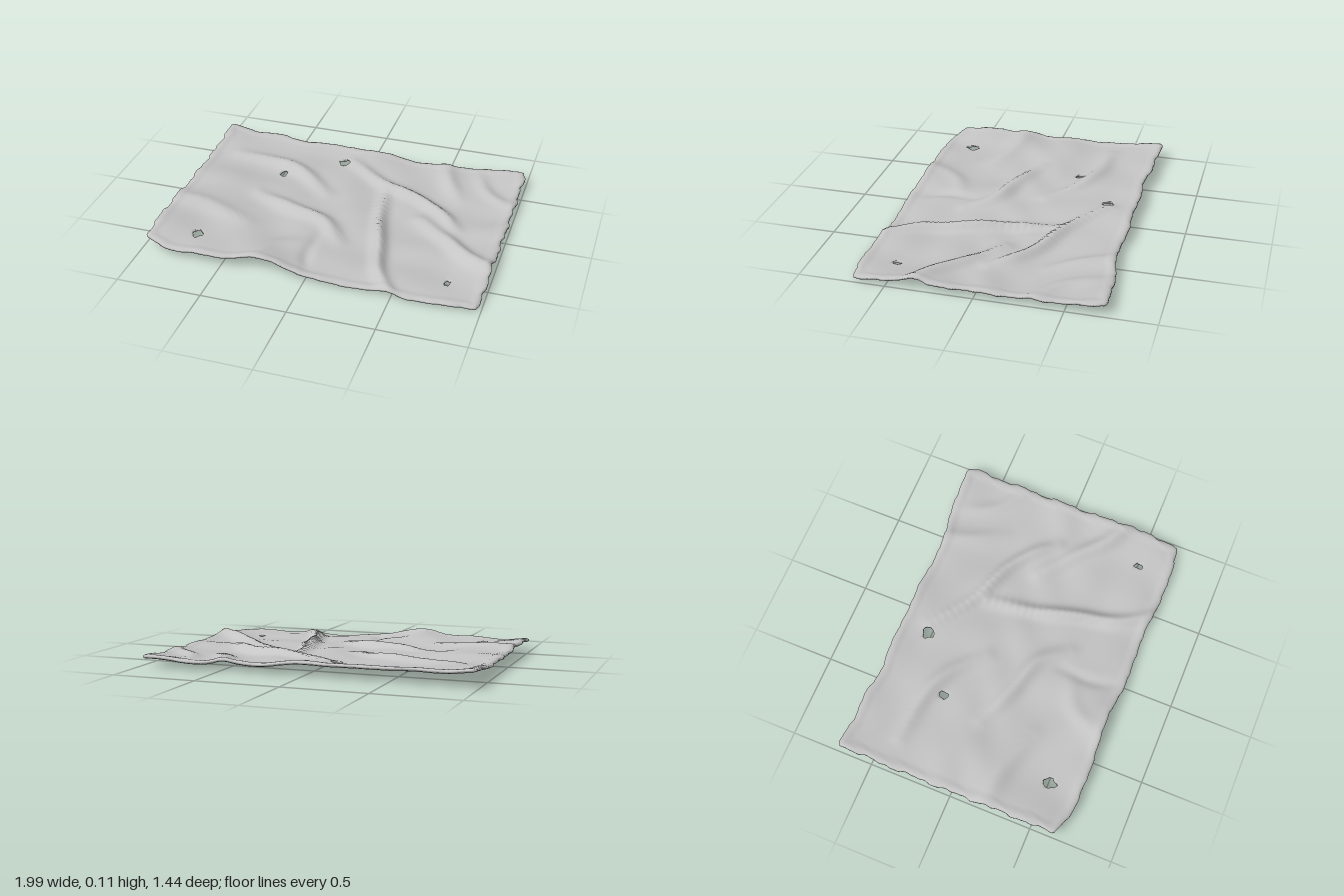
import * as THREE from 'three';

const NX = 132, NZ = 96;

// Broad sag of the cloth: rows from back to front, columns from left edge to right edge in x
const SAG = [
  [0.095, 0.085, 0.075, 0.070, 0.075, 0.055, 0.050, 0.050, 0.060],
  [0.075, 0.060, 0.060, 0.055, 0.050, 0.040, 0.030, 0.025, 0.040],
  [0.070, 0.080, 0.055, 0.050, 0.045, 0.030, 0.025, 0.030, 0.040],
  [0.085, 0.060, 0.050, 0.045, 0.040, 0.025, 0.020, 0.020, 0.045],
  [0.065, 0.045, 0.060, 0.082, 0.038, 0.020, 0.025, 0.018, 0.022],
];
// Outlines of the back and front edges, evenly spaced in x
const BACK = [-0.715, -0.695, -0.695, -0.672, -0.69, -0.68, -0.688, -0.68, -0.675, -0.705, -0.72, -0.725];
const FRONT = [0.655, 0.695, 0.70, 0.695, 0.68, 0.695, 0.705, 0.695, 0.70, 0.715, 0.71, 0.70];

// Folds: height, width, path points [x, z]
const FOLDS = [
  [0.042, 0.045, [[-0.08, -0.52], [0.18, -0.34], [0.45, -0.23], [0.6, -0.12], [0.7, 0]]],
  [0.034, 0.050, [[-0.8, -0.4], [-0.5, -0.37], [-0.32, -0.29], [-0.14, -0.13]]],
  [0.036, 0.050, [[-0.52, 0], [-0.3, 0.09], [-0.05, 0.17], [0.08, 0.32]]],
  [0.045, 0.040, [[0.2, -0.26], [0.25, 0.05], [0.32, 0.3], [0.38, 0.53], [0.5, 0.72]]],
  [0.040, 0.050, [[0.48, -0.04], [0.7, 0.14], [0.85, 0.28], [1.02, 0.37]]],
  [0.022, 0.060, [[-1, 0.2], [-0.75, 0.23], [-0.5, 0.31]]],
  [0.022, 0.050, [[0.48, -0.7], [0.55, -0.5], [0.64, -0.34]]],
  [0.018, 0.045, [[0.7, -0.65], [0.8, -0.45], [1, -0.3]]],
  [-0.015, 0.035, [[-0.04, 0.3], [-0.05, 0.5], [-0.02, 0.62]]],
  [0.014, 0.050, [[-0.35, 0.68], [-0.25, 0.48], [-0.1, 0.4]]],
].map(([h, w, pts]) => {
  const curve = new THREE.CatmullRomCurve3(pts.map(([x, z]) => new THREE.Vector3(x, 0, z)));
  return { h, w, pts: curve.getPoints(28) };
});

// Torn holes: centre x, z and radii
const HOLES = [[-0.14, -0.51, 0.034, 0.034], [-0.465, -0.268, 0.021, 0.03],
  [-0.72, 0.51, 0.029, 0.04], [0.772, 0.51, 0.016, 0.036]];

// Smooth interpolation through evenly spaced values
function spline(a, t) {
  const n = a.length - 1, p = THREE.MathUtils.clamp(t, 0, 1) * n;
  const i = Math.min(Math.floor(p), n - 1), f = p - i;
  const p0 = a[Math.max(i - 1, 0)], p1 = a[i], p2 = a[i + 1], p3 = a[Math.min(i + 2, n)];
  return p1 + 0.5 * f * (p2 - p0 + f * (2 * p0 - 5 * p1 + 4 * p2 - p3 + f * (3 * (p1 - p2) + p3 - p0)));
}

function height(x, z) {
  let y = spline(SAG.map(row => spline(row, (x + 1) / 2)), (z + 0.72) / 1.44);
  for (const { h, w, pts } of FOLDS) {
    let best = Infinity, at = 0;
    pts.forEach((p, i) => {
      const d = (p.x - x) ** 2 + (p.z - z) ** 2;
      if (d < best) { best = d; at = i / (pts.length - 1); }
    });
    // folds fade towards their ends
    y += h * Math.exp(-best / (w * w)) * (0.35 + 0.65 * Math.sin(Math.PI * at));
  }
  // fine diagonal wrinkles
  y += 0.004 * Math.sin(9 * x - 15 * z + 2 * Math.sin(4 * x + 3 * z));
  return y + 0.0025 * Math.sin(17 * x + 11 * z + 1.5 * Math.sin(8 * z));
}

const ragged = t => 0.005 * Math.sin(23 * t) + 0.004 * Math.sin(51 * t + 1) + 0.002 * Math.sin(97 * t);

// Plan position of a grid point, with ragged edges and holes pushed open
function plan(u, v) {
  const side = 2 * u - 1, ends = 2 * v - 1;
  let x = side * 0.988 + side * side * side * ragged(v * 1.4 + u * 3);
  let z = THREE.MathUtils.lerp(spline(BACK, u), spline(FRONT, u), v) + ends ** 3 * 0.5 * ragged(u * 2 + v);
  // soften the corners
  const corner = Math.abs(side * ends) ** 24;
  x -= side * 0.014 * corner;
  z -= ends * 0.012 * corner;
  let rim = false;
  for (const [cx, cz, rx, rz] of HOLES) {
    const a = (x - cx) / rx, b = (z - cz) / rz, d = Math.hypot(a, b);
    const ang = Math.atan2(b, a), r = 1 + 0.14 * Math.cos(4 * ang + cx * 9) + 0.1 * Math.sin(3 * ang + cz * 5);
    if (d < r) {
      x = cx + rx * r * Math.cos(ang);
      z = cz + rz * r * Math.sin(ang);
      rim = true;
    }
  }
  return { x, z, rim };
}

function clothGeometry() {
  const pos = [], index = [], rims = [], W = NX + 1, layer = W * (NZ + 1);
  // top layer, then bottom layer
  for (const s of [1, -1]) {
    for (let j = 0; j <= NZ; j++) for (let i = 0; i <= NX; i++) {
      const { x, z, rim } = plan(i / NX, j / NZ);
      const e = Math.min(i, NX - i, j, NZ - j);
      // rolled hem: thick just inside the edge, rounded off at it
      const half = rim ? 0.005 : [0.005, 0.011, 0.012, 0.010][e] ?? 0.007;
      pos.push(x, height(x, z) + s * half, z);
      rims.push(rim);
    }
  }
  const edges = new Map();
  for (let j = 0; j < NZ; j++) for (let i = 0; i < NX; i++) {
    const a = j * W + i, quad = [a, a + W, a + W + 1, a + 1];
    if (quad.every(k => rims[k])) continue;
    const [p, q, r, t] = quad;
    index.push(p, q, r, p, r, t);
    index.push(p + layer, r + layer, q + layer, p + layer, t + layer, r + layer);
    quad.forEach((k, n) => edges.set(k + '_' + quad[(n + 1) % 4], [k, quad[(n + 1) % 4]]));
  }
  // walls close the outer edge and the hole rims
  for (const [k, l] of edges.values()) {
    if (edges.has(l + '_' + k)) continue;
    index.push(k, k + layer, l + layer, k, l + layer, l);
  }
  const geo = new THREE.BufferGeometry();
  geo.setAttribute('position', new THREE.Float32BufferAttribute(pos, 3));
  geo.setIndex(index);
  geo.computeVertexNormals();
  geo.computeBoundingBox();
  geo.translate(0, -geo.boundingBox.min.y, 0);
  return geo;
}

export function createModel() {
  const group = new THREE.Group();
  group.name = 'raggedCloth';
  const material = new THREE.MeshStandardMaterial({ color: 0xc4c4c4 });
  material.name = 'greyCloth';
  const cloth = new THREE.Mesh(clothGeometry(), material);
  cloth.name = 'clothSheet';
  group.add(cloth);
  return group;
}
